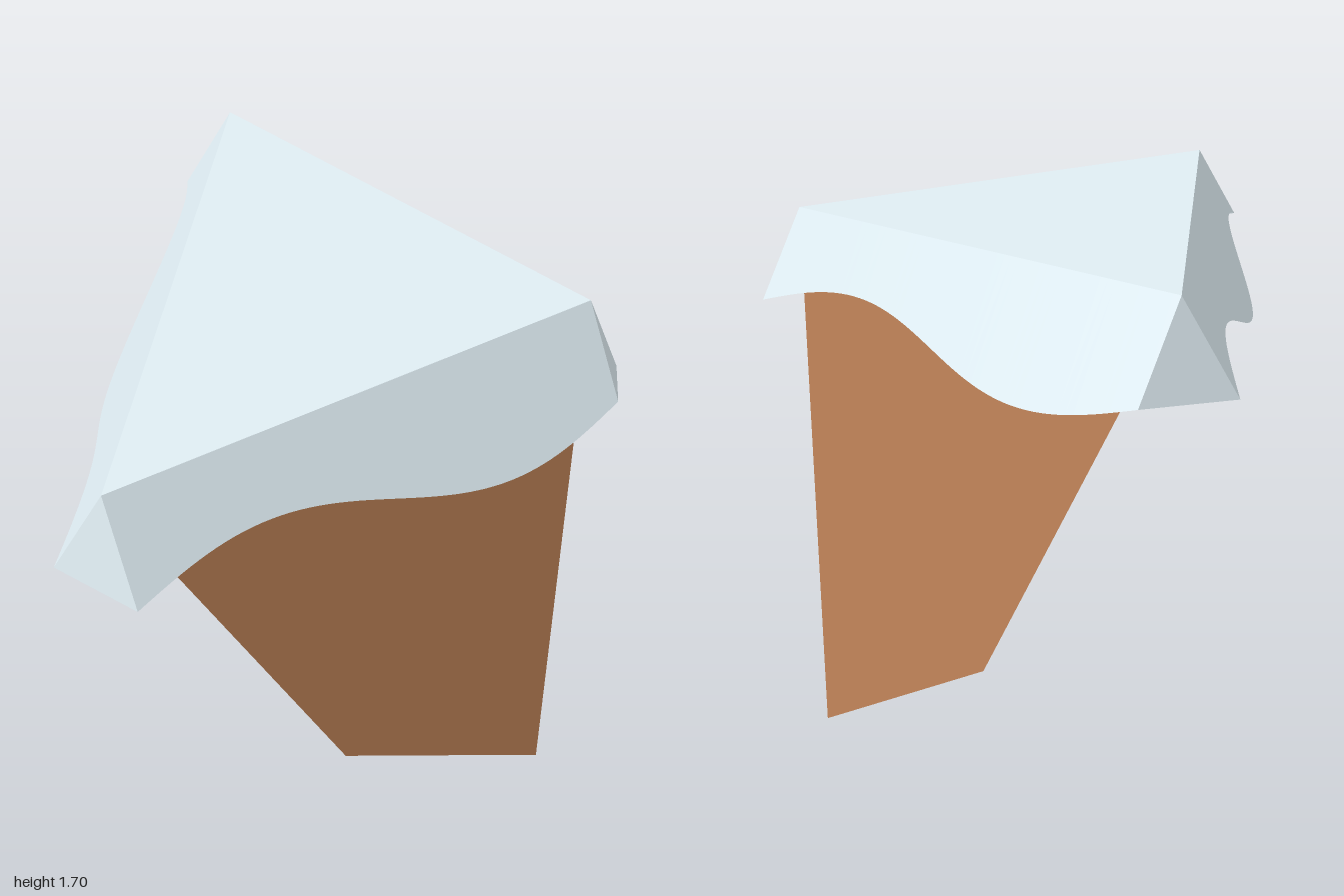
import * as THREE from 'three';

const TOP = 1.695, SIDE = 1.69;
const RIM = 1.43, WAVE = 0.073, FLARE = 0.556;

// Flat-shaded mesh from convex polygons, corners counter-clockwise from outside
function facetMesh(name, polygons, color) {
  const points = [];
  for (const p of polygons)
    for (let i = 1; i < p.length - 1; i++) points.push(p[0], p[i], p[i + 1]);
  const geometry = new THREE.BufferGeometry().setFromPoints(points);
  geometry.computeVertexNormals();
  const material = new THREE.MeshStandardMaterial({ color, flatShading: true, side: THREE.DoubleSide });
  const mesh = new THREE.Mesh(geometry, material);
  mesh.name = name;
  return mesh;
}

// Wavy sloping strip hanging from the edge a-b; the wave runs on true length
function makeSkirt(a, b, steps = 56) {
  const length = a.distanceTo(b);
  const dir = b.clone().sub(a).normalize();
  const out = new THREE.Vector3(-dir.z, 0, dir.x);
  const upper = [], lower = [], polygons = [];
  for (let i = 0; i <= steps; i++) {
    const s = (length * i) / steps;
    const drop = TOP - RIM - WAVE * Math.sin((2 * Math.PI * s) / SIDE);
    const p = a.clone().addScaledVector(dir, s);
    upper.push(p);
    const q = p.clone().addScaledVector(out, drop * FLARE);
    q.y -= drop;
    lower.push(q);
    if (i) polygons.push([upper[i - 1], lower[i - 1], lower[i], upper[i]]);
  }
  return { polygons, start: lower[0], end: lower[steps] };
}

export function createModel() {
  const group = new THREE.Group();
  const V = (x, y, z) => new THREE.Vector3(x, y, z);
  const earth = 0xc4865a, snow = 0xdfedf3;

  // Top triangle corners, then the waist and the lowest tip
  const A = V(-0.89, TOP, -0.8), B = V(0.8, TOP, -0.8), C = V(0.8, TOP, 0.89);
  const D = V(-0.045, 0.43, -0.8), E = V(0.8, 0.43, 0.045), F = V(0.8, 0, -0.8);

  // Tapering body: back, right side, slanted front, underside
  group.add(facetMesh('body', [[A, B, F, D], [B, C, E, F], [A, D, E, C], [D, F, E]], earth));

  // Flat cap
  group.add(facetMesh('capTop', [[A, C, B]], snow));

  // Wavy skirts around the cap, joined by corner triangles
  const loop = [C, B, A];
  const names = ['rightSkirt', 'backSkirt', 'frontSkirt'];
  const skirts = loop.map((p, i) => makeSkirt(p, loop[(i + 1) % 3]));
  skirts.forEach((skirt, i) => {
    group.add(facetMesh(names[i], skirt.polygons, snow));
    const next = (i + 1) % 3;
    group.add(facetMesh('skirtCorner', [[loop[next], skirt.end, skirts[next].start]], snow));
  });
  return group;
}
